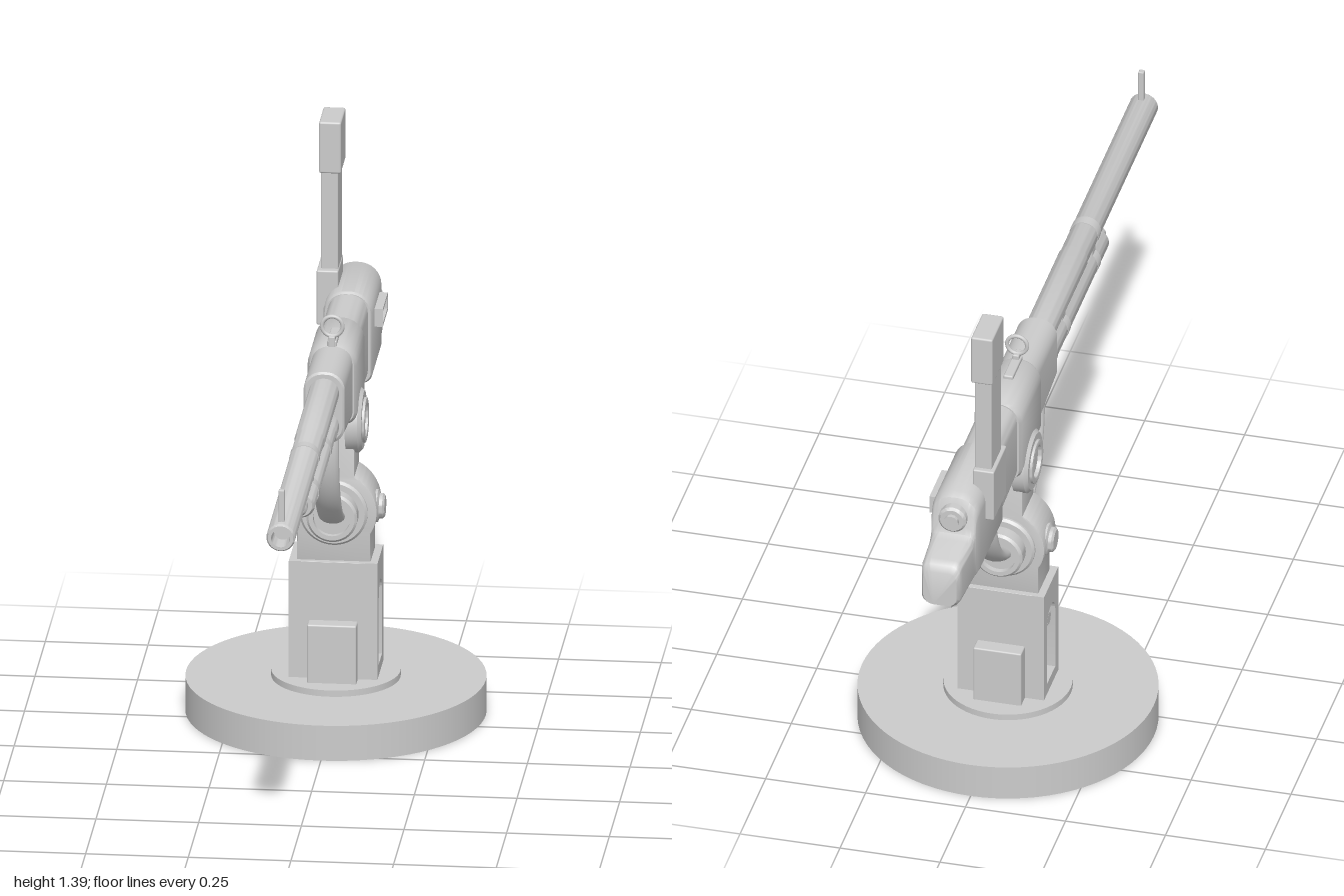
import * as THREE from 'three';
import { toCreasedNormals } from 'three/addons/utils/BufferGeometryUtils.js';
import { RoundedBoxGeometry } from 'three/addons/geometries/RoundedBoxGeometry.js';

const material = new THREE.MeshStandardMaterial({ color: 0xcccccc });
const CZ = -0.335; // z of the mount axis

// Rounded cross-sections joined along z, listed front to back: [z, halfWidth, bottom, top, topRadius, bottomRadius]
function loft(sections) {
  const pos = [], idx = [], steps = 8, n = 4 * (steps + 1);
  for (const [z, w, y0, y1, rt, rb] of sections) {
    const corners = [[w - rb, y0 + rb, rb], [w - rt, y1 - rt, rt], [rt - w, y1 - rt, rt], [rb - w, y0 + rb, rb]];
    corners.forEach(([x, y, r], k) => {
      for (let i = 0; i <= steps; i++) {
        const a = (k - 1 + i / steps) * Math.PI / 2;
        pos.push(x + r * Math.cos(a), y + r * Math.sin(a), z);
      }
    });
  }
  const last = sections.length - 1;
  for (let s = 0; s < last; s++) for (let j = 0; j < n; j++) {
    const a = s * n + j, b = s * n + (j + 1) % n;
    idx.push(a, a + n, b, b, a + n, b + n);
  }
  for (let j = 1; j < n - 1; j++) {
    idx.push(0, j, j + 1);
    idx.push(last * n, last * n + j + 1, last * n + j);
  }
  const g = new THREE.BufferGeometry();
  g.setAttribute('position', new THREE.Float32BufferAttribute(pos, 3));
  g.setIndex(idx);
  return toCreasedNormals(g, 0.6);
}

// Lathe from [radius, height] pairs with crisp rims
function turned(points) {
  return toCreasedNormals(new THREE.LatheGeometry(points.map(p => new THREE.Vector2(...p)), 40), 0.6);
}

function extrude(shape, depth, bevel = 0) {
  const g = new THREE.ExtrudeGeometry(shape, {
    depth, curveSegments: 20, bevelEnabled: bevel > 0, bevelSize: bevel, bevelThickness: bevel, bevelOffset: -bevel, bevelSegments: 2
  });
  return toCreasedNormals(g, 0.6);
}

function rectPath(path, x0, y0, x1, y1) {
  return path.moveTo(x0, y0).lineTo(x1, y0).lineTo(x1, y1).lineTo(x0, y1).closePath();
}

export function createModel() {
  const root = new THREE.Group();
  function add(name, geometry, x = 0, y = 0, z = 0, parent = root) {
    const m = new THREE.Mesh(geometry, material);
    m.name = name;
    m.position.set(x, y, z);
    parent.add(m);
    return m;
  }
  const box = (name, x0, x1, y0, y1, z0, z1, r = 0.004) =>
    add(name, new RoundedBoxGeometry(x1 - x0, y1 - y0, z1 - z0, 2, r), (x0 + x1) / 2, (y0 + y1) / 2, (z0 + z1) / 2);
  // Turned part pointing forward, along +z
  const forward = (name, pts, x, y, z) => { const m = add(name, turned(pts), x, y, z); m.rotation.x = Math.PI / 2; return m; };
  // Turned part pointing sideways, away from the centre
  const sideways = (name, pts, side, x, y, z) => { const m = add(name, turned(pts), side * x, y, z); m.rotation.z = -side * Math.PI / 2; return m; };

  // Round base and plate
  add('base', new THREE.CylinderGeometry(0.365, 0.365, 0.09, 72), 0, 0.045, CZ);
  add('basePlate', new THREE.CylinderGeometry(0.157, 0.157, 0.016, 56), 0, 0.098, CZ);

  // Pedestal core, with arched recesses in the side plates
  box('pedestal', -0.08, 0.08, 0.1, 0.405, CZ - 0.07, CZ + 0.07, 0.001);
  for (const side of [-1, 1]) {
    const plate = rectPath(new THREE.Shape(), -0.07, 0.1, 0.07, 0.405);
    const arch = new THREE.Path();
    arch.moveTo(-0.04, 0.135).lineTo(-0.04, 0.3).absarc(0, 0.3, 0.04, Math.PI, 0, true).lineTo(0.04, 0.135).closePath();
    plate.holes.push(arch);
    const p = add('pedestalSide', extrude(plate, 0.03), side * 0.078, 0, CZ);
    p.rotation.y = side * Math.PI / 2;
    sideways('pedestalBolt', [[0, 0], [0.021, 0], [0.021, 0.02], [0.016, 0.025], [0, 0.025]].map(([r, h]) => [r, h]), side, 0.078, 0.3, CZ);
  }
  box('frontAndRearPads', -0.06, 0.06, 0.1, 0.255, CZ - 0.107, CZ + 0.107);

  // Swivel knuckle with neck
  const knuckle = new THREE.Shape();
  const a0 = -0.55;
  knuckle.moveTo(-0.09, 0.4).lineTo(0.09, 0.4).lineTo(0.105 * Math.cos(a0), 0.53 + 0.105 * Math.sin(a0));
  knuckle.absarc(0, 0.53, 0.105, a0, 1.07, false);
  knuckle.lineTo(0.05, 0.75).lineTo(-0.05, 0.75);
  knuckle.absarc(0, 0.53, 0.105, Math.PI - 1.07, Math.PI - a0, false);
  knuckle.closePath();
  add('knuckle', extrude(knuckle, 0.106, 0.003), 0, 0, CZ - 0.053);
  for (const end of [-1, 1]) {
    const ring = forward('knuckleRing',
      [[0, 0], [0.083, 0], [0.083, 0.012], [0.077, 0.018], [0.062, 0.018], [0.062, 0.05], [0.056, 0.056], [0.045, 0.056], [0.045, 0.042], [0, 0.042]],
      0, 0.53, CZ + end * 0.05);
    ring.rotation.x = end * Math.PI / 2;
  }

  // Side bolts and trunnion discs
  for (const side of [-1, 1]) {
    sideways('swivelBolt', [[0, 0], [0.04, 0], [0.04, 0.026], [0.031, 0.03], [0.031, 0.038], [0.025, 0.043], [0, 0.043]], side, 0.077, 0.53, CZ);
    sideways('trunnion',
      [[0, 0], [0.08, 0], [0.08, 0.03], [0.071, 0.039], [0.055, 0.039], [0.055, 0.045], [0.048, 0.047], [0.04, 0.045], [0.038, 0.036], [0, 0.036]],
      side, 0.029, 0.75, CZ);
    // Cheek tying the trunnion to the neck
    box('forkCheek', side > 0 ? 0.025 : -0.05, side > 0 ? 0.05 : -0.025, 0.62, 0.76, CZ - 0.055, CZ + 0.055);
  }

  // Elevation arc below the receiver
  const arc = new THREE.TorusGeometry(0.237, 0.018, 16, 64, Math.PI + 0.36);
  arc.rotateZ(Math.PI - 0.18);
  arc.rotateY(Math.PI / 2);
  arc.scale(1.75, 1, 1);
  add('elevationArc', arc, 0, 0.75, CZ);

  // Receiver: front housing, trunnion sleeve, waist and rear housing
  add('receiverFront', loft([
    [-0.045, 0.045, 0.795, 0.967, 0.04, 0.04], [-0.05, 0.05, 0.79, 0.972, 0.045, 0.04], [-0.25, 0.05, 0.772, 0.972, 0.045, 0.03]]));
  add('receiverSleeve', loft([
    [-0.235, 0.054, 0.774, 0.972, 0.05, 0.03], [-0.245, 0.06, 0.77, 0.977, 0.055, 0.03],
    [-0.43, 0.06, 0.757, 0.977, 0.055, 0.03], [-0.44, 0.054, 0.757, 0.972, 0.05, 0.03]]));
  add('receiverWaist', loft([[-0.43, 0.049, 0.757, 0.969, 0.044, 0.03], [-0.63, 0.049, 0.743, 0.969, 0.044, 0.03]]));
  add('receiverRear', loft([
    [-0.615, 0.056, 0.744, 0.97, 0.05, 0.025], [-0.622, 0.06, 0.74, 0.975, 0.055, 0.028],
    [-0.835, 0.06, 0.74, 0.975, 0.055, 0.028], [-0.853, 0.058, 0.74, 0.965, 0.052, 0.028],
    [-0.864, 0.056, 0.74, 0.94, 0.045, 0.028], [-0.87, 0.055, 0.74, 0.895, 0.03, 0.028],
    [-0.878, 0.055, 0.74, 0.877, 0.025, 0.028], [-0.895, 0.054, 0.74, 0.868, 0.022, 0.028],
    [-0.975, 0.05, 0.74, 0.865, 0.022, 0.028], [-0.99, 0.048, 0.741, 0.857, 0.022, 0.028], [-1, 0.042, 0.747, 0.84, 0.022, 0.025]]));
  const knob = forward('rearKnob', [[0, 0], [0.035, 0], [0.035, 0.034], [0.029, 0.04], [0.018, 0.04], [0.018, 0.05], [0, 0.05]], 0, 0.918, -0.845);
  knob.rotation.x = -Math.PI / 2;

  // Framed port on the left side
  const port = rectPath(new THREE.Shape(), -0.06, -0.023, 0.06, 0.023);
  port.holes.push(rectPath(new THREE.Path(), -0.05, -0.015, 0.05, 0.015));
  add('portFrame', extrude(port, 0.026), 0.054, 0.892, -0.73).rotation.y = Math.PI / 2;

  // Barrel with open muzzle, and gas tube below
  forward('barrel', [[0.037, 0], [0.037, 0.35], [0.035, 0.355], [0.035, 1.044], [0.031, 1.05], [0.023, 1.05], [0.021, 1], [0, 1]], 0, 0.92, -0.05);
  forward('gasTube',
    [[0.037, 0], [0.037, 0.06], [0.035, 0.065], [0.035, 0.565], [0.029, 0.575], [0.019, 0.575], [0.019, 0.6], [0.013, 0.61], [0, 0.61]], 0, 0.835, -0.05);
  for (const z of [0.42, 0.127]) {
    box('tubeBracket', -0.022, 0.022, 0.845, 0.91, z - 0.015, z + 0.015, 0.003);
    for (const y of [0.835, 0.92])
      add('tubeBand', new THREE.CylinderGeometry(0.0365, 0.0365, 0.028, 32), 0, y, z).rotation.x = Math.PI / 2;
  }

  // Sights
  box('frontSight', -0.007, 0.007, 0.945, 1.035, 0.963, 0.978, 0.002);
  add('ringSight', new THREE.TorusGeometry(0.025, 0.005, 12, 36), 0, 1.02, -0.246);
  box('ringSightPost', -0.008, 0.008, 0.965, 0.998, -0.261, -0.231, 0.003);
  box('ringSightBase', -0.012, 0.012, 0.965, 0.986, -0.335, -0.235, 0.004);

  // Upright magazine on the right
  box('magazineSocket', -0.081, -0.028, 0.87, 1.01, -0.79, -0.665);
  box('magazine', -0.072, -0.03, 0.99, 1.28, -0.777, -0.683, 0.003);
  box('magazineCap', -0.076, -0.022, 1.258, 1.39, -0.785, -0.672, 0.005);

  return root;
}
